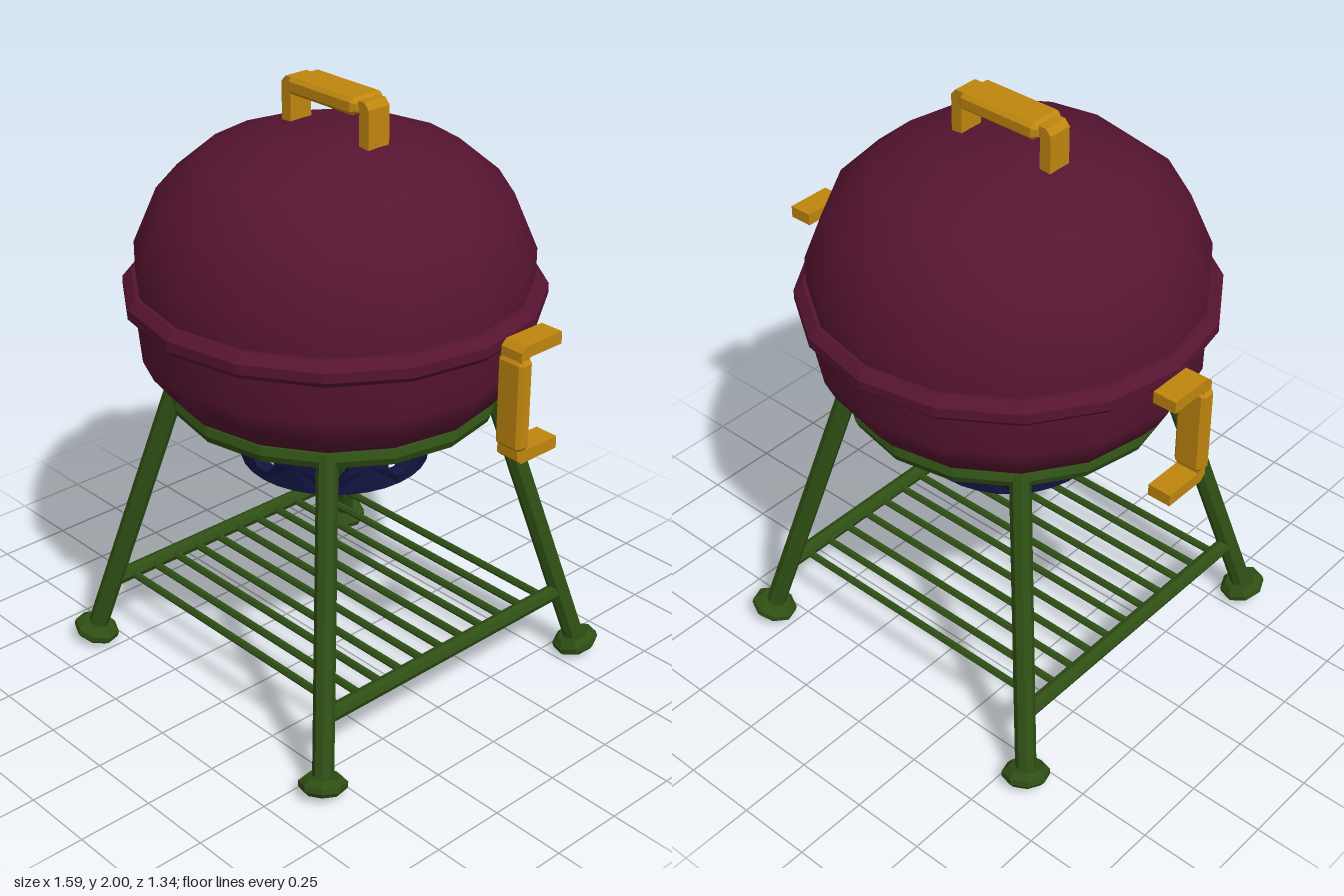
import * as THREE from 'three';

const red = new THREE.MeshStandardMaterial({ color: 0x561430 });
const redFlat = new THREE.MeshStandardMaterial({ color: 0x561430, flatShading: true });
const green = new THREE.MeshStandardMaterial({ color: 0x2f4f14, flatShading: true });
const gold = new THREE.MeshStandardMaterial({ color: 0xc0860f, flatShading: true });
const navy = new THREE.MeshStandardMaterial({ color: 0x12143f, flatShading: true, side: THREE.DoubleSide });

const v2 = (pts) => pts.map(([x, y]) => new THREE.Vector2(x, y));

function part(parent, name, geometry, material) {
  const mesh = new THREE.Mesh(geometry, material);
  mesh.name = name;
  parent.add(mesh);
  return mesh;
}

// Round bar between two points
function bar(parent, name, a, b, radius, sides) {
  const dir = b.clone().sub(a);
  const mesh = part(parent, name, new THREE.CylinderGeometry(radius, radius, dir.length(), sides), green);
  mesh.position.copy(a).add(b).multiplyScalar(0.5);
  mesh.quaternion.setFromUnitVectors(new THREE.Vector3(0, 1, 0), dir.normalize());
  return mesh;
}

// U-shaped strap with a chamfered grip; the outer face is at local y = 0
function handle(name, reach, strapWidth, gripWidth) {
  const g = new THREE.Group();
  g.name = name;
  const strap = new THREE.Shape(v2([
    [-0.193, -reach], [-0.153, -reach], [-0.153, -0.045], [0.153, -0.045], [0.153, -reach],
    [0.193, -reach], [0.193, -0.028], [0.175, -0.008], [-0.175, -0.008], [-0.193, -0.028]]));
  const strapGeo = new THREE.ExtrudeGeometry(strap, { depth: strapWidth, bevelEnabled: false });
  strapGeo.translate(0, 0, -strapWidth / 2);
  part(g, name + 'Strap', strapGeo, gold);

  const w = gripWidth / 2, b = 0.012;
  const section = new THREE.Shape(v2([
    [-w + b, -0.054], [w - b, -0.054], [w, -0.042], [w, -0.012],
    [w - b, 0], [-w + b, 0], [-w, -0.012], [-w, -0.042]]));
  const gripGeo = new THREE.ExtrudeGeometry(section, {
    depth: 0.27, bevelThickness: 0.015, bevelSize: 0.012, bevelOffset: -0.012, bevelSegments: 1 });
  gripGeo.translate(0, 0, -0.135).rotateY(Math.PI / 2);
  part(g, name + 'Grip', gripGeo, gold);
  return g;
}

// Vented ring: flat panels with a round window, bent around the axis
function ventPanel(angle) {
  const R = 0.312, h = Math.PI / 8, t = h / 2, y0 = 0.76, y1 = 0.97;
  const shape = new THREE.Shape(v2([
    [-h, y0], [-t, y0], [0, y0], [t, y0], [h, y0], [h, 0.85],
    [h, y1], [t, y1], [0, y1], [-t, y1], [-h, y1], [-h, 0.85]]));
  const hole = [];
  for (let i = 0; i < 8; i++) {
    const a = -(i + 0.5) * Math.PI / 4;
    hole.push([Math.cos(a) * 0.058 / R, 0.85 + Math.sin(a) * 0.058]);
  }
  shape.holes.push(new THREE.Path(v2(hole)));
  const geo = new THREE.ExtrudeGeometry(shape, { depth: 0.05, bevelEnabled: false });
  const p = geo.attributes.position;
  for (let i = 0; i < p.count; i++) {
    const a = p.getX(i) + angle;
    const chamfer = p.getY(i) < y0 + 0.001 ? 0.006 : 0;
    const r = R - 0.05 + p.getZ(i) - chamfer;
    p.setXYZ(i, Math.sin(a) * r, p.getY(i), Math.cos(a) * r);
  }
  geo.computeVertexNormals();
  return geo;
}

export function createModel() {
  const model = new THREE.Group();
  model.name = 'kettleGrill';

  // Bowl, lid and rim
  part(model, 'bowl', new THREE.LatheGeometry(v2([
    [0, 0.93], [0.3, 0.938], [0.43, 0.97], [0.54, 1.04], [0.595, 1.11], [0.627, 1.18], [0.627, 1.35]]), 16), red);
  part(model, 'lid', new THREE.LatheGeometry(v2([
    [0.627, 1.35], [0.627, 1.48], [0.55, 1.66], [0.41, 1.78], [0.22, 1.847], [0, 1.865]]), 16), red);
  part(model, 'rim', new THREE.LatheGeometry(v2([
    [0.6, 1.31], [0.65, 1.31], [0.668, 1.33], [0.668, 1.362], [0.652, 1.378], [0.64, 1.39], [0.6, 1.39]]), 16), redFlat);

  // Handles
  const lidHandle = handle('lidHandle', 0.165, 0.085, 0.13);
  lidHandle.position.y = 2;
  model.add(lidHandle);
  for (const s of [1, -1]) {
    const side = handle(s > 0 ? 'leftHandle' : 'rightHandle', 0.18, 0.08, 0.1);
    side.rotation.set(Math.PI / 2, 0, -s * Math.PI / 2, 'ZXY');
    // Local y points outward along x, local x lies along z
    const m = new THREE.Matrix4().makeBasis(
      new THREE.Vector3(0, 0, -s), new THREE.Vector3(s, 0, 0), new THREE.Vector3(0, 1, 0));
    side.quaternion.setFromRotationMatrix(m);
    side.position.set(s * 0.745, 1.205, 0);
    model.add(side);
  }

  // Ash catcher
  const catcher = new THREE.Group();
  catcher.name = 'ashCatcher';
  for (let i = 0; i < 8; i++) part(catcher, 'ventPanel', ventPanel(i * Math.PI / 4), navy);
  model.add(catcher);

  // Support ring
  const ring = part(model, 'supportRing', new THREE.TorusGeometry(0.5, 0.035, 8, 16), green);
  ring.rotation.x = Math.PI / 2;
  ring.position.y = 1.0;

  // Legs and feet
  for (const x of [1, -1]) for (const z of [1, -1]) {
    const top = new THREE.Vector3(x * 0.355, 1.01, z * 0.355);
    const end = new THREE.Vector3(x * 0.58, 0.04, z * 0.58);
    const leg = bar(model, 'leg', end, top, 0.034, 8);
    const foot = part(model, 'foot', new THREE.LatheGeometry(v2([
      [0, -0.026], [0.06, -0.026], [0.077, -0.01], [0.077, 0.008], [0.055, 0.026], [0, 0.026]]), 8), green);
    foot.position.copy(end);
    foot.quaternion.copy(leg.quaternion);
  }

  // Bottom rack
  for (const s of [1, -1]) {
    bar(model, 'rackRail', new THREE.Vector3(s * 0.532, 0.237, -0.535),
      new THREE.Vector3(s * 0.532, 0.237, 0.535), 0.027, 8);
  }
  for (let i = 0; i < 11; i++) {
    const z = -0.46 + i * 0.092;
    bar(model, 'rackSlat', new THREE.Vector3(-0.53, 0.238, z), new THREE.Vector3(0.53, 0.238, z), 0.013, 6);
  }
  return model;
}
